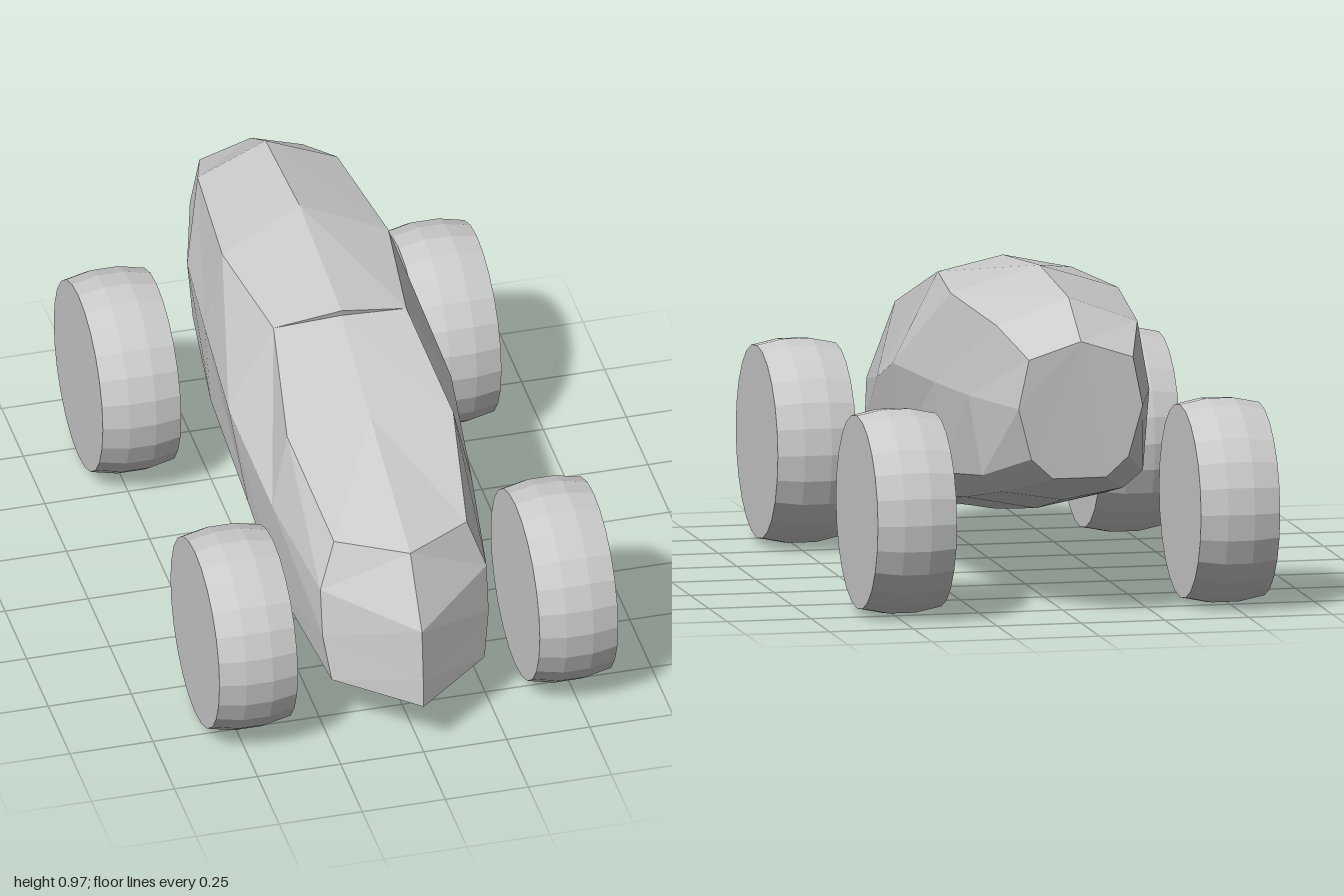
import * as THREE from 'three';

const material = new THREE.MeshStandardMaterial({ color: 0xcccccc, flatShading: true });

// Half cross-sections from front to back, each running from keel centre,
// over bottom edge, lower side, belt line and shoulder to the ridge centre.
const sections = [
  [[0, 0.165, 1.0], [0.23, 0.18, 0.82], [0.25, 0.32, 0.79], [0.25, 0.465, 0.765], [0.2, 0.605, 0.73], [0, 0.605, 0.845]],
  [[0, 0.14, 0.4], [0.19, 0.15, 0.4], [0.275, 0.21, 0.36], [0.3, 0.525, 0.4], [0.25, 0.75, 0.38], [0, 0.777, 0.38]],
  [[0, 0.165, 0.15], [0.24, 0.215, 0.08], [0.3, 0.35, 0.12], [0.335, 0.625, 0.03], [0.2, 0.89, 0.03], [0, 0.93, 0.05]],
  [[0, 0.25, -0.39], [0.21, 0.29, -0.39], [0.28, 0.365, -0.39], [0.3, 0.63, -0.38], [0.25, 0.89, -0.37], [0, 0.975, -0.44]],
  [[0, 0.33, -0.75], [0.18, 0.36, -0.75], [0.24, 0.41, -0.75], [0.27, 0.64, -0.7], [0.21, 0.86, -0.81], [0, 0.94, -0.83]],
  [[0, 0.43, -0.98], [0.08, 0.43, -0.98], [0.145, 0.49, -0.985], [0.185, 0.64, -0.995], [0.155, 0.785, -1.0], [0, 0.835, -1.0]],
];

function createBody() {
  const positions = [];
  const mirror = ([x, y, z]) => [-x, y, z];
  // Every face is added on the left and mirrored to the right
  const tri = (a, b, c) => positions.push(...a, ...b, ...c, ...mirror(c), ...mirror(b), ...mirror(a));
  const quad = (a, b, c, d) => { tri(a, b, c); tri(a, c, d); };

  // Shell between neighbouring sections; the windscreen ends just under the roof lip
  const screenTop = [0, 0.91, 0.045];
  for (let i = 0; i < sections.length - 1; i++) {
    const front = sections[i], back = sections[i + 1];
    for (let j = 0; j < 5; j++) {
      const backTop = i === 1 && j === 4 ? screenTop : back[j + 1];
      quad(front[j], back[j], backTop, front[j + 1]);
    }
  }
  // Small upright roof lip above the windscreen
  tri(sections[2][5], screenTop, sections[2][4]);

  // Pointed nose, folded along its centre line
  const nose = sections[0];
  const centre = [nose[0], [0, 0.255, 0.995], [0, 0.415, 0.98], nose[5]];
  quad(centre[3], centre[2], nose[3], nose[4]);
  quad(centre[2], centre[1], nose[2], nose[3]);
  quad(centre[1], centre[0], nose[1], nose[2]);

  // Flat tail
  const tail = sections[5];
  for (let j = 4; j > 0; j--) tri(tail[5], tail[j], tail[j - 1]);

  const geometry = new THREE.BufferGeometry();
  geometry.setAttribute('position', new THREE.Float32BufferAttribute(positions, 3));
  geometry.computeVertexNormals();
  const body = new THREE.Mesh(geometry, material);
  body.name = 'body';
  return body;
}

// Barrel-shaped wheel with flat sides, axle along x
function createWheelGeometry() {
  const profile = [[0, -0.118], [0.284, -0.118], [0.3, -0.04], [0.3, 0.04], [0.284, 0.118], [0, 0.118]];
  const geometry = new THREE.LatheGeometry(profile.map(([r, h]) => new THREE.Vector2(r, h)), 24);
  return geometry.rotateZ(Math.PI / 2);
}

export function createModel() {
  const model = new THREE.Group();
  model.name = 'car';
  model.add(createBody());

  // Four free-standing wheels
  const wheelGeometry = createWheelGeometry();
  for (const [end, z] of [['front', 0.66], ['rear', -0.69]]) {
    for (const [side, x] of [['Left', 0.482], ['Right', -0.482]]) {
      const wheel = new THREE.Mesh(wheelGeometry, material);
      wheel.name = `${end}${side}Wheel`;
      wheel.position.set(x, 0.305, z);
      model.add(wheel);
    }
  }
  return model;
}
